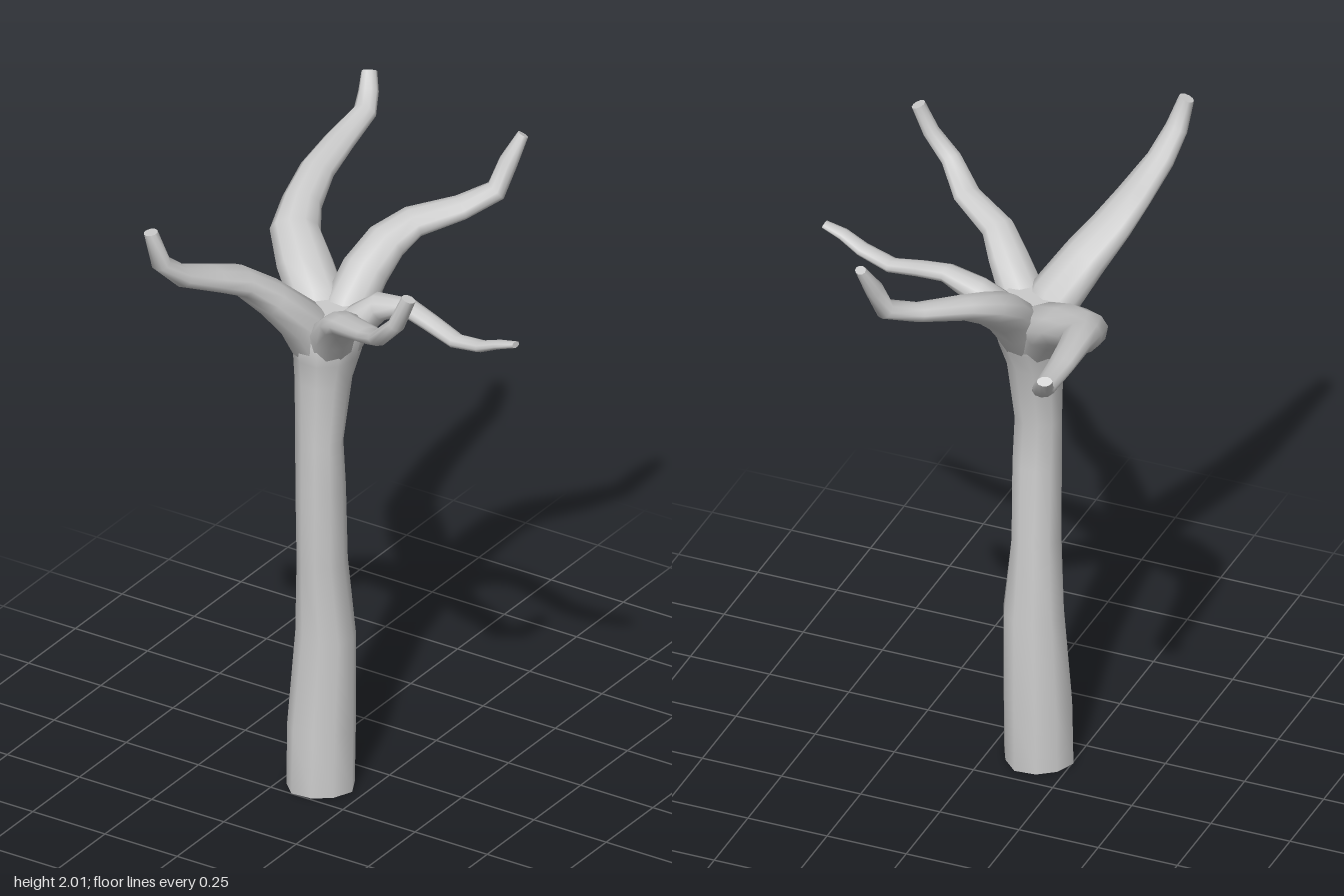
import * as THREE from 'three';

const SIDES = 10;

// Limb skinned over stations [x, y, z, radius across, radius through]; both ends capped.
function limb(name, stations, firstSide, lobes = 0) {
  const pts = stations.map(([x, y, z]) => new THREE.Vector3(x, y, z));
  const pos = [], idx = [];
  const side = firstSide.clone();
  const rings = stations.map(([, , , ra, rb], i) => {
    const a = pts[Math.max(i - 1, 0)], b = pts[Math.min(i + 1, pts.length - 1)];
    const t = b.clone().sub(a).normalize();
    if (lobes) t.set(0, 1, 0); // trunk rings stay level
    side.addScaledVector(t, -side.dot(t)).normalize();
    const n = t.clone().cross(side);
    return Array.from({ length: SIDES }, (_, j) => {
      const u = (j / SIDES) * Math.PI * 2;
      const k = 1 + lobes * Math.cos(4 * u + 0.6) * Math.max(0, 1 - pts[i].y);
      return pts[i].clone()
        .addScaledVector(side, Math.cos(u) * ra * k)
        .addScaledVector(n, Math.sin(u) * rb * k);
    });
  });

  // Skin
  rings.forEach((ring) => ring.forEach((p) => pos.push(p.x, p.y, p.z)));
  for (let i = 0; i < rings.length - 1; i++) {
    for (let j = 0; j < SIDES; j++) {
      const a = i * SIDES + j, b = i * SIDES + ((j + 1) % SIDES);
      idx.push(a, b, a + SIDES, b, b + SIDES, a + SIDES);
    }
  }
  // End caps with their own vertices, so the rims stay sharp
  [0, rings.length - 1].forEach((i) => {
    const c = pos.length / 3;
    pos.push(pts[i].x, pts[i].y, pts[i].z);
    rings[i].forEach((p) => pos.push(p.x, p.y, p.z));
    for (let j = 0; j < SIDES; j++) {
      const a = c + 1 + j, b = c + 1 + ((j + 1) % SIDES);
      if (i === 0) idx.push(c, b, a);
      else idx.push(c, a, b);
    }
  });

  const geo = new THREE.BufferGeometry();
  geo.setAttribute('position', new THREE.Float32BufferAttribute(pos, 3));
  geo.setIndex(idx);
  geo.computeVertexNormals();
  const mesh = new THREE.Mesh(geo, new THREE.MeshStandardMaterial({ color: 0xcccccc }));
  mesh.name = name;
  return mesh;
}

// Branch whose cross-section starts out level, at right angles to its overall heading
function branch(name, stations) {
  const a = stations[0], b = stations[Math.min(3, stations.length - 1)];
  const side = new THREE.Vector3(b[2] - a[2], 0, a[0] - b[0]).normalize();
  return limb(name, stations, side);
}

export function createModel() {
  const tree = new THREE.Group();
  tree.name = 'bareTree';

  // Trunk: wide foot, narrow waist, flared crown
  tree.add(limb('trunk', [
    [-0.145, 0, 0.145, 0.105, 0.105],
    [-0.143, 0.2, 0.143, 0.105, 0.103],
    [-0.133, 0.5, 0.137, 0.094, 0.083],
    [-0.133, 0.75, 0.155, 0.074, 0.079],
    [-0.13, 1.0, 0.168, 0.075, 0.071],
    [-0.132, 1.15, 0.172, 0.073, 0.064],
    [-0.13, 1.35, 0.153, 0.085, 0.083],
    [-0.125, 1.43, 0.14, 0.096, 0.108],
    [-0.122, 1.51, 0.135, 0.11, 0.125],
    [-0.12, 1.57, 0.13, 0.085, 0.1],
  ], new THREE.Vector3(1, 0, 0), 0.05));

  tree.add(branch('frontRightBranch', [
    [-0.14, 1.42, 0.15, 0.085, 0.07],
    [-0.17, 1.55, 0.21, 0.085, 0.07],
    [-0.23, 1.65, 0.29, 0.08, 0.055],
    [-0.28, 1.725, 0.37, 0.073, 0.042],
    [-0.305, 1.77, 0.47, 0.063, 0.035],
    [-0.335, 1.83, 0.6, 0.047, 0.032],
    [-0.355, 1.9, 0.675, 0.037, 0.028],
    [-0.38, 2.0, 0.69, 0.025, 0.02],
  ]));

  tree.add(branch('frontLeftBranch', [
    [-0.12, 1.42, 0.15, 0.07, 0.06],
    [-0.06, 1.54, 0.21, 0.07, 0.055],
    [0.0, 1.61, 0.26, 0.062, 0.042],
    [0.06, 1.655, 0.325, 0.052, 0.032],
    [0.19, 1.695, 0.4, 0.043, 0.025],
    [0.275, 1.75, 0.483, 0.033, 0.024],
    [0.345, 1.82, 0.497, 0.026, 0.024],
    [0.38, 1.91, 0.485, 0.022, 0.02],
  ]));

  tree.add(branch('leftBranch', [
    [-0.11, 1.42, 0.13, 0.07, 0.06],
    [-0.05, 1.53, 0.1, 0.06, 0.055],
    [0.02, 1.595, 0.078, 0.048, 0.042],
    [0.12, 1.625, 0.088, 0.036, 0.025],
    [0.21, 1.608, 0.105, 0.033, 0.022],
    [0.31, 1.585, 0.122, 0.03, 0.019],
    [0.41, 1.605, 0.14, 0.028, 0.016],
    [0.475, 1.635, 0.15, 0.024, 0.013],
    [0.535, 1.653, 0.152, 0.017, 0.009],
  ]));

  tree.add(branch('backLeftBranch', [
    [-0.12, 1.42, 0.13, 0.075, 0.07],
    [-0.115, 1.54, 0.04, 0.075, 0.07],
    [-0.11, 1.62, -0.04, 0.075, 0.062],
    [-0.095, 1.68, -0.13, 0.07, 0.048],
    [-0.055, 1.72, -0.21, 0.058, 0.036],
    [0.04, 1.745, -0.32, 0.046, 0.028],
    [0.11, 1.785, -0.4, 0.036, 0.03],
    [0.13, 1.87, -0.435, 0.032, 0.027],
    [0.155, 1.95, -0.475, 0.02, 0.015],
  ]));

  tree.add(branch('backRightBranch', [
    [-0.14, 1.43, 0.13, 0.08, 0.075],
    [-0.21, 1.54, 0.06, 0.085, 0.07],
    [-0.3, 1.6, -0.01, 0.085, 0.065],
    [-0.385, 1.65, -0.09, 0.075, 0.058],
    [-0.42, 1.69, -0.18, 0.06, 0.048],
    [-0.445, 1.735, -0.3, 0.052, 0.03],
    [-0.465, 1.755, -0.45, 0.045, 0.024],
    [-0.48, 1.775, -0.61, 0.035, 0.025],
    [-0.5, 1.815, -0.66, 0.03, 0.024],
    [-0.52, 1.86, -0.695, 0.023, 0.015],
  ]));

  return tree;
}
